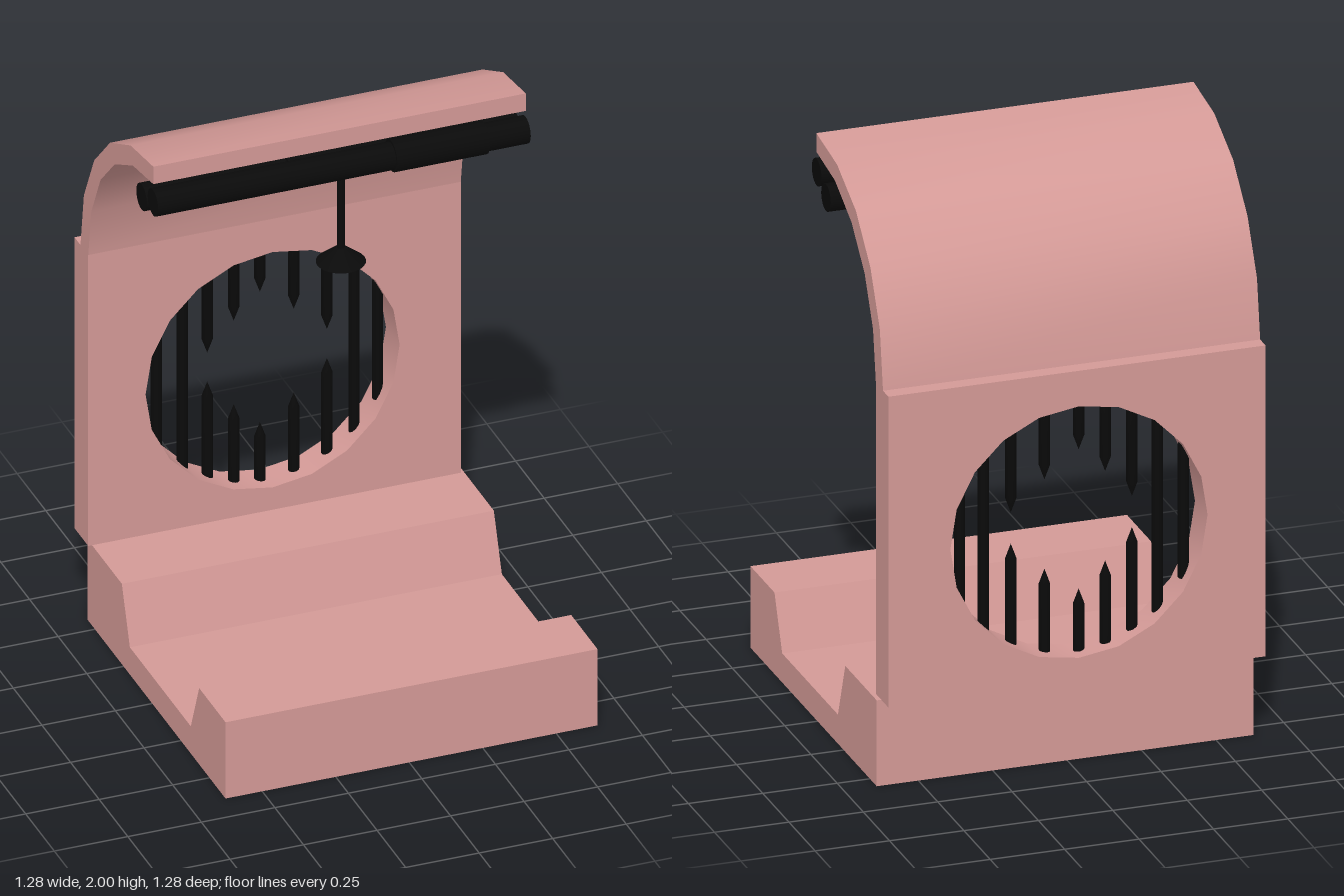
import * as THREE from 'three';
import { toCreasedNormals } from 'three/addons/utils/BufferGeometryUtils.js';

const pink = new THREE.MeshStandardMaterial({ color: 0xd39996 });
const black = new THREE.MeshStandardMaterial({ color: 0x0a0a0a });

function part(parent, name, geometry, material, x = 0, y = 0, z = 0) {
  const mesh = new THREE.Mesh(geometry, material);
  mesh.name = name;
  mesh.position.set(x, y, z);
  parent.add(mesh);
  return mesh;
}

// Side profile of [z, y] points, swept along x from x0 to x1
function sweep(points, x0, x1) {
  const shape = new THREE.Shape(points.map(([z, y]) => new THREE.Vector2(z, y)));
  const geometry = new THREE.ExtrudeGeometry(shape, { depth: x1 - x0, bevelEnabled: false });
  geometry.rotateY(-Math.PI / 2).translate(x1, 0, 0);
  return toCreasedNormals(geometry, 0.6);
}

// Cylinder lying along x
function rod(parent, name, radius, x0, x1, y, z) {
  const geometry = new THREE.CylinderGeometry(radius, radius, x1 - x0, 24).rotateZ(Math.PI / 2);
  part(parent, name, geometry, black, (x0 + x1) / 2, y, z);
}

export function createModel() {
  const model = new THREE.Group();
  const left = 0.627, right = -0.64;

  // Base with a trough across it
  part(model, 'base', sweep([
    [0.64, 0], [0.64, 0.28], [0.41, 0.28], [0.337, 0.1],
    [-0.195, 0.1], [-0.265, 0.295], [-0.565, 0.295], [-0.565, 0],
  ], -0.625, 0.64), pink);

  // Back wall with a twenty-sided window
  const cx = -0.013, cy = 0.812, radius = 0.432, wallBack = -0.64, wallDepth = 0.12;
  const wall = new THREE.Shape([
    new THREE.Vector2(right, 0.298), new THREE.Vector2(left, 0.298),
    new THREE.Vector2(left, 1.366), new THREE.Vector2(right, 1.366),
  ]);
  const hole = [];
  for (let i = 0; i < 20; i++) {
    const a = -i * Math.PI / 10;
    hole.push(new THREE.Vector2(cx + radius * Math.cos(a), cy + radius * Math.sin(a)));
  }
  wall.holes.push(new THREE.Path(hole));
  const wallGeometry = new THREE.ExtrudeGeometry(wall, { depth: wallDepth, bevelEnabled: false });
  part(model, 'backWall', toCreasedNormals(wallGeometry, 0.6), pink, 0, 0, wallBack);

  // Curved canopy: outer arc, then the inner arc back
  part(model, 'canopy', sweep([
    [0.048, 2], [-0.15, 1.97], [-0.33, 1.882], [-0.468, 1.742], [-0.558, 1.565], [-0.588, 1.366],
    [-0.52, 1.366], [-0.493, 1.54], [-0.413, 1.7], [-0.288, 1.826], [-0.13, 1.907], [0.048, 1.936],
  ], right, left), pink);

  // Window bars: four whole ones, and five pairs of facing spikes
  const bars = new THREE.Group();
  bars.name = 'windowBars';
  model.add(bars);
  const barRadius = 0.018, barZ = wallBack + wallDepth / 2;
  const reach = (x) => Math.sqrt(radius ** 2 - (x - cx) ** 2) + 0.01;
  for (const x of [-0.385, -0.297, 0.287, 0.367]) {
    const geometry = new THREE.CylinderGeometry(barRadius, barRadius, 2 * reach(x), 10);
    part(bars, 'bar', geometry, black, x, cy, barZ);
  }
  for (const [x, high, low] of [
    [-0.212, 0.885, 0.778], [-0.122, 0.983, 0.676], [-0.033, 1.07, 0.592],
    [0.082, 0.983, 0.676], [0.195, 0.885, 0.778],
  ]) {
    const spike = (length) => toCreasedNormals(new THREE.LatheGeometry([
      new THREE.Vector2(0, 0), new THREE.Vector2(barRadius, 0.05), new THREE.Vector2(barRadius, length),
    ], 10), 0.7);
    part(bars, 'upperSpike', spike(cy + reach(x) - high), black, x, high, barZ);
    part(bars, 'lowerSpike', spike(low - cy + reach(x)), black, x, low, barZ).rotation.x = Math.PI;
  }

  // Two rods with thicker sleeves under the canopy
  const rods = new THREE.Group();
  rods.name = 'rods';
  model.add(rods);
  rod(rods, 'frontRod', 0.046, -0.64, 0.627, 1.867, 0.045);
  rod(rods, 'frontSleeve', 0.054, 0.17, 0.485, 1.867, 0.045);
  rod(rods, 'rearRod', 0.046, -0.635, 0.635, 1.825, -0.067);
  rod(rods, 'rearSleeve', 0.057, -0.15, 0.485, 1.825, -0.067);

  // Lamp hanging from the front rod
  const lamp = new THREE.Group();
  lamp.name = 'hangingLamp';
  lamp.position.set(-0.003, 0, 0.05);
  model.add(lamp);
  part(lamp, 'stem', new THREE.CylinderGeometry(0.013, 0.013, 0.29, 12), black, 0, 1.705, 0);
  part(lamp, 'shade', new THREE.CylinderGeometry(0.016, 0.08, 0.052, 24), black, 0, 1.546, 0);

  return model;
}
